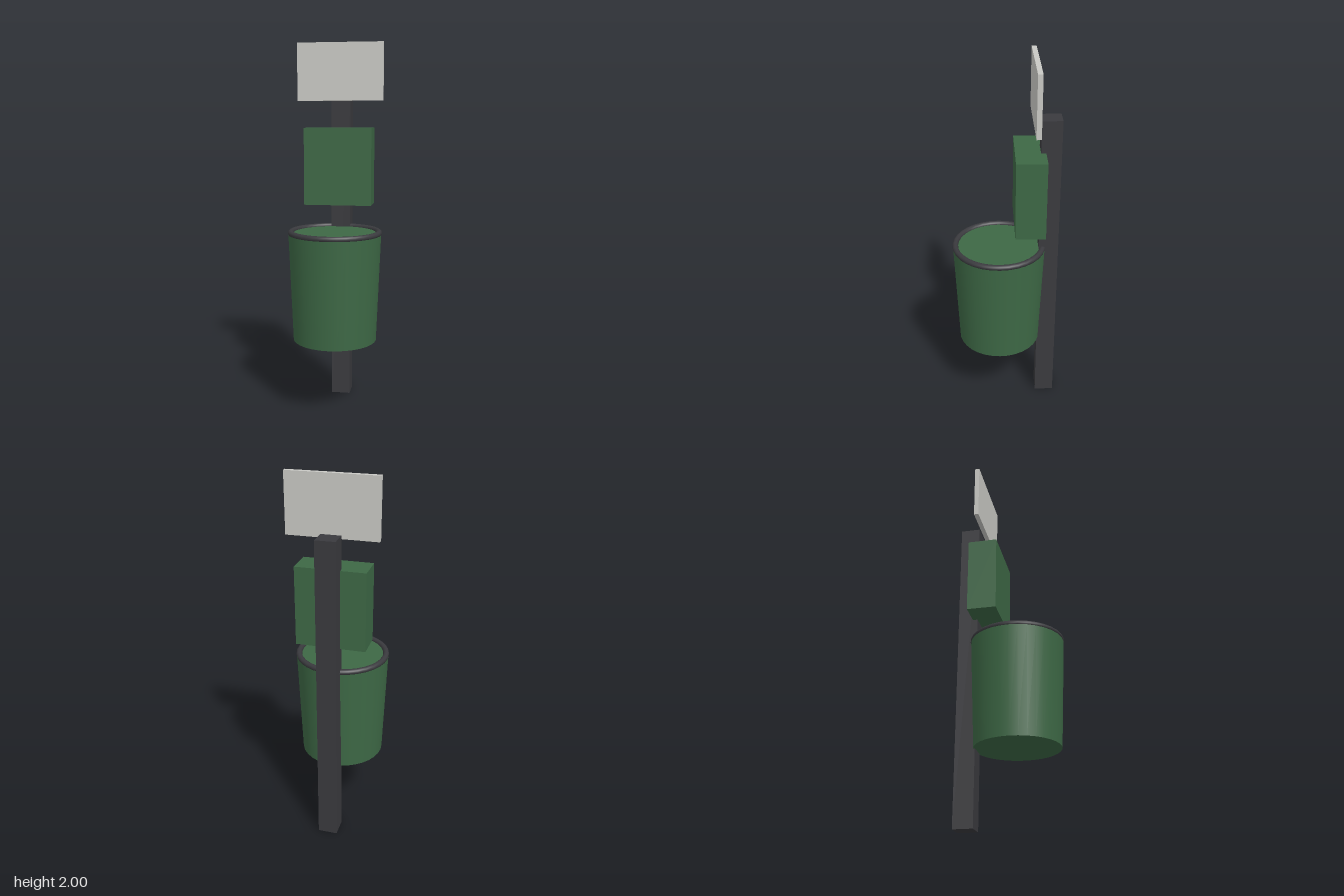
import * as THREE from 'three';

const material = (color) => new THREE.MeshStandardMaterial({ color });

export function createModel() {
  const model = new THREE.Group();
  model.name = 'litterBinOnPost';
  const dark = material(0x3a3a3e);
  const green = material(0x3d6845);
  const pale = material(0xc9c9c4);

  const add = (name, geometry, mat, x, y, z) => {
    const mesh = new THREE.Mesh(geometry, mat);
    mesh.name = name;
    mesh.position.set(x, y, z);
    model.add(mesh);
    return mesh;
  };

  // Square post standing at the back
  add('post', new THREE.BoxGeometry(0.105, 1.71, 0.105), dark, 0, 0.855, -0.233);

  // Bag dispenser fixed to the front of the post
  add('dispenserBox', new THREE.BoxGeometry(0.368, 0.418, 0.157), green, 0, 1.333, -0.128);

  // Thin sign panel at the top
  add('signPanel', new THREE.BoxGeometry(0.473, 0.312, 0.025), pale, 0, 1.844, -0.154);

  // Tapered, closed bin with a round rim
  const binZ = 0.031;
  add('bin', new THREE.CylinderGeometry(0.25, 0.226, 0.59, 32), green, 0, 0.693, binZ);
  const rim = add('binRim', new THREE.TorusGeometry(0.237, 0.0157, 10, 32), dark, 0, 0.988, binZ);
  rim.rotation.x = Math.PI / 2;

  return model;
}
